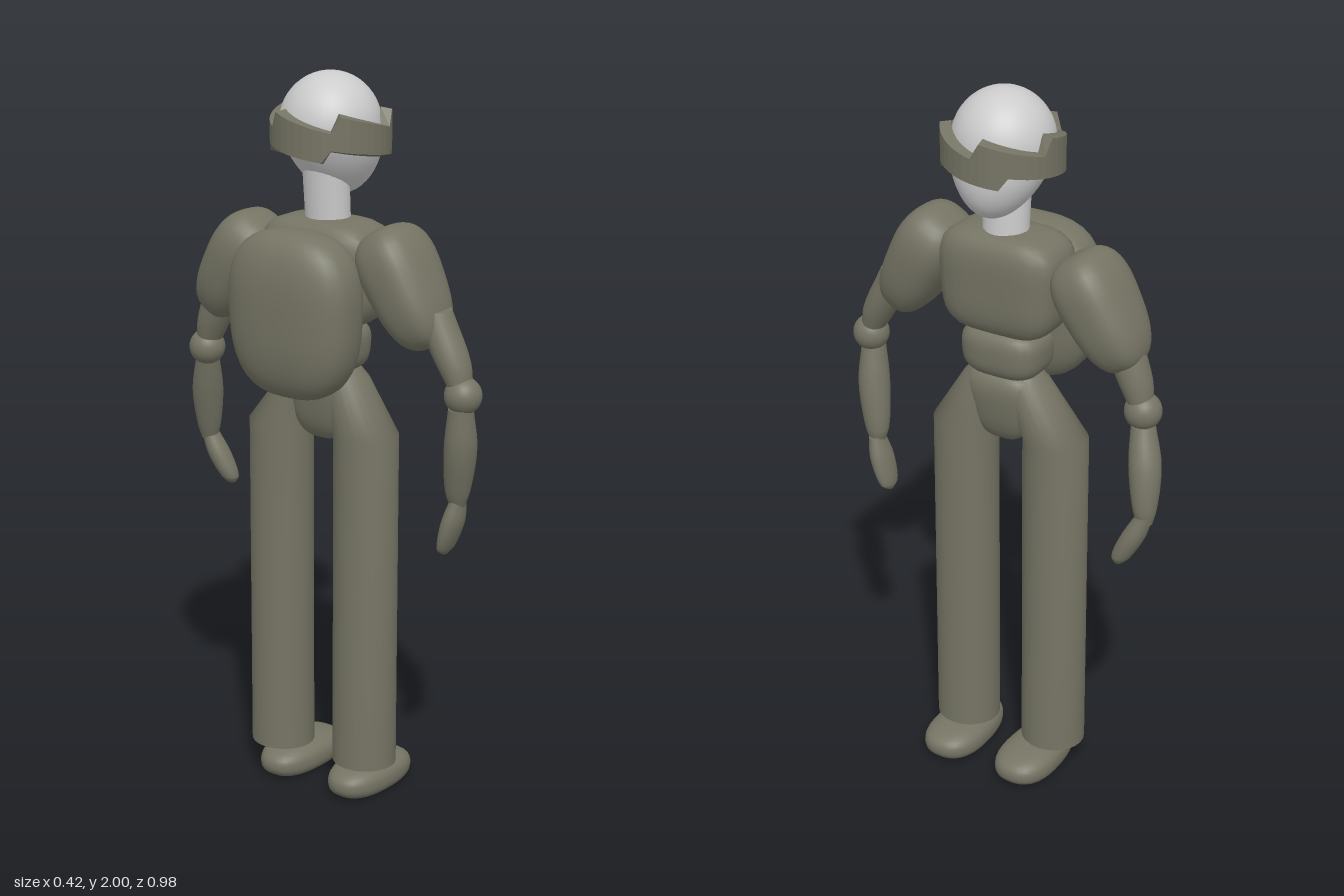
import * as THREE from 'three';
import { mergeVertices } from 'three/addons/utils/BufferGeometryUtils.js';

const cloth = new THREE.MeshStandardMaterial({ color: 0x757464 });
const skin = new THREE.MeshStandardMaterial({ color: 0xcccccc });
const bandCloth = new THREE.MeshStandardMaterial({ color: 0x757464, flatShading: true });

// Sphere whose vertices are moved by a rule, with smooth seamless normals
function shapedSphere(rule) {
  let geo = new THREE.SphereGeometry(1, 36, 26);
  geo.deleteAttribute('uv');
  geo.deleteAttribute('normal');
  geo = mergeVertices(geo, 1e-4);
  const pos = geo.attributes.position;
  const v = new THREE.Vector3();
  for (let i = 0; i < pos.count; i++) {
    rule(v.fromBufferAttribute(pos, i));
    pos.setXYZ(i, v.x, v.y, v.z);
  }
  geo.computeVertexNormals();
  return geo;
}

// Rounded cushion: power sets boxiness, taper narrows the bottom
function cushion(name, center, radii, { power = 3, taper = 0, tilt = 0 } = {}) {
  const geo = shapedSphere((v) => {
    const n = Math.pow(Math.abs(v.x) ** power + Math.abs(v.y) ** power + Math.abs(v.z) ** power, 1 / power);
    v.divideScalar(n);
    const s = 1 - taper * (1 - v.y) / 2;
    v.set(v.x * radii[0] * s, v.y * radii[1], v.z * radii[2] * s);
  });
  const mesh = new THREE.Mesh(geo, cloth);
  mesh.name = name;
  mesh.position.set(...center);
  mesh.rotation.x = tilt;
  return mesh;
}

// Horizontal elliptical rings [x, y, z, rx, rz] from bottom to top, capped
function loft(name, sections, { smooth = true, material = cloth, sides = 24 } = {}) {
  let rings = sections;
  if (smooth) {
    const path = new THREE.CatmullRomCurve3(sections.map((s) => new THREE.Vector3(s[0], s[1], s[2])));
    const size = new THREE.CatmullRomCurve3(sections.map((s) => new THREE.Vector3(s[3], s[4], s[1])));
    rings = [];
    const steps = (sections.length - 1) * 5;
    for (let i = 0; i <= steps; i++) {
      const p = path.getPoint(i / steps), r = size.getPoint(i / steps);
      rings.push([p.x, p.y, p.z, r.x, r.y]);
    }
  }
  const pos = [], idx = [];
  const addRing = ([x, y, z, rx, rz]) => {
    const start = pos.length / 3;
    for (let j = 0; j < sides; j++) {
      const a = (j / sides) * Math.PI * 2;
      pos.push(x + rx * Math.cos(a), y, z + rz * Math.sin(a));
    }
    return start;
  };
  const starts = rings.map(addRing);
  for (let i = 0; i < starts.length - 1; i++) {
    for (let j = 0; j < sides; j++) {
      const k = (j + 1) % sides, a = starts[i], b = starts[i + 1];
      idx.push(a + j, b + j, a + k, b + j, b + k, a + k);
    }
  }
  for (const top of [false, true]) {
    const ring = top ? rings[rings.length - 1] : rings[0];
    const s = addRing(ring), c = pos.length / 3;
    pos.push(ring[0], ring[1], ring[2]);
    for (let j = 0; j < sides; j++) {
      const k = (j + 1) % sides;
      idx.push(c, s + (top ? k : j), s + (top ? j : k));
    }
  }
  const geo = new THREE.BufferGeometry();
  geo.setAttribute('position', new THREE.Float32BufferAttribute(pos, 3));
  geo.setIndex(idx);
  geo.computeVertexNormals();
  const mesh = new THREE.Mesh(geo, material);
  mesh.name = name;
  return mesh;
}

// Ragged band around the head, with sawtooth edges
function headband() {
  const n = 40, pos = [], idx = [];
  for (let i = 0; i < n; i++) {
    const a = (i / n) * Math.PI * 2;
    const saw = (i % 8) / 7, low = ((i + 3) % 10) / 9;
    const top = 1.862 + 0.042 * saw, bottom = 1.778 + 0.032 * low;
    for (const [r, y] of [[0.128, bottom], [0.16, bottom + 0.008], [0.16, top], [0.13, top + 0.005]]) {
      pos.push(0.048 + r * Math.cos(a), y, r * Math.sin(a));
    }
  }
  for (let i = 0; i < n; i++) {
    for (let k = 0; k < 4; k++) {
      const a = i * 4, b = ((i + 1) % n) * 4, m = (k + 1) % 4;
      idx.push(a + k, a + m, b + k, a + m, b + m, b + k);
    }
  }
  const geo = new THREE.BufferGeometry();
  geo.setAttribute('position', new THREE.Float32BufferAttribute(pos, 3));
  geo.setIndex(idx);
  geo.computeVertexNormals();
  const mesh = new THREE.Mesh(geo, bandCloth);
  mesh.name = 'headband';
  return mesh;
}

export function createModel() {
  const model = new THREE.Group();
  model.name = 'figure';

  // Head: round skull drawn down and forward (+x) to the chin
  const head = new THREE.Mesh(shapedSphere((v) => {
    const d = Math.max(0, -v.y);
    v.set(0.045 + 0.05 * d + v.x * 0.137, 1.86 + v.y * (v.y > 0 ? 0.14 : 0.19), v.z * 0.135 * (1 - 0.15 * d * d));
  }), skin);
  head.name = 'head';
  model.add(head, headband());
  model.add(loft('neck', [[0.038, 1.58, 0, 0.056, 0.062], [0.025, 1.75, 0, 0.062, 0.062]], { smooth: false, material: skin }));

  // Torso and pack
  model.add(
    cushion('chest', [0.03, 1.475, 0], [0.11, 0.145, 0.18], { power: 4, taper: 0.1 }),
    cushion('waist', [0.025, 1.275, 0], [0.095, 0.075, 0.122], { power: 3.2, taper: 0.08 }),
    cushion('pelvis', [0.03, 1.12, 0], [0.095, 0.11, 0.125], { power: 3, taper: 0.4 }),
    cushion('backpack', [-0.105, 1.38, -0.003], [0.108, 0.225, 0.2], { power: 2.8, taper: 0.1, tilt: 0 }),
  );

  // Padded shoulders
  model.add(
    cushion('leftShoulder', [0.025, 1.465, 0.262], [0.122, 0.168, 0.1], { power: 2.8, taper: 0.25, tilt: -0.5 }),
    cushion('rightShoulder', [0.025, 1.447, -0.287], [0.122, 0.165, 0.1], { power: 2.8, taper: 0.25, tilt: 0.55 }),
  );

  // Left arm
  model.add(
    loft('leftUpperArm', [[0.025, 1.22, 0.433, 0.035, 0.03], [0.027, 1.29, 0.405, 0.048, 0.047], [0.03, 1.42, 0.335, 0.05, 0.055]]),
    cushion('leftElbow', [0.025, 1.205, 0.44], [0.05, 0.05, 0.05], { power: 2 }),
    loft('leftForearm', [[0.053, 0.89, 0.41, 0.02, 0.02], [0.05, 0.93, 0.412, 0.033, 0.033],
      [0.033, 1.06, 0.43, 0.046, 0.043], [0.02, 1.17, 0.437, 0.036, 0.032]]),
    loft('leftHand', [[0.053, 0.748, 0.372, 0.012, 0.008], [0.053, 0.765, 0.376, 0.034, 0.018],
      [0.053, 0.84, 0.397, 0.042, 0.028], [0.055, 0.905, 0.411, 0.028, 0.02]]),
  );

  // Right arm, swung slightly forward
  model.add(
    loft('rightUpperArm', [[0.03, 1.21, -0.405, 0.035, 0.032], [0.027, 1.28, -0.382, 0.047, 0.047], [0.025, 1.42, -0.325, 0.05, 0.055]]),
    cushion('rightElbow', [0.028, 1.195, -0.41], [0.05, 0.05, 0.05], { power: 2 }),
    loft('rightForearm', [[0.088, 0.905, -0.455, 0.022, 0.022], [0.083, 0.95, -0.452, 0.034, 0.033],
      [0.062, 1.06, -0.438, 0.044, 0.043], [0.035, 1.16, -0.415, 0.034, 0.032]]),
    loft('rightHand', [[0.11, 0.778, -0.393, 0.012, 0.012], [0.107, 0.795, -0.398, 0.025, 0.025],
      [0.098, 0.86, -0.428, 0.034, 0.032], [0.09, 0.925, -0.455, 0.025, 0.023]]),
  );

  // Straight trouser legs leaning into the hips, with flat-soled shoes
  for (const [side, x, z, s] of [['left', 0.038, 0.125, 1], ['right', 0.02, -0.145, -1]]) {
    model.add(loft(side + 'Leg', [[x, 0.083, z, 0.086, 0.09], [x, 1.04, z, 0.086, 0.09],
      [0.03, 1.19, s * 0.062, 0.07, 0.06], [0.03, 1.215, s * 0.055, 0.05, 0.045]], { smooth: false }));
    const shoe = new THREE.Mesh(shapedSphere((v) => {
      const width = 1 + 0.08 * v.x;
      const n = Math.pow(Math.abs(v.x) ** 2.5 + Math.abs(v.y) ** 2.5 + Math.abs(v.z) ** 2.5, 1 / 2.5);
      v.divideScalar(n);
      v.set(v.x * 0.147, Math.max(0, 0.035 + v.y * 0.05), v.z * 0.083 * width);
    }), cloth);
    shoe.name = side + 'Shoe';
    shoe.position.set(0.063, 0, s > 0 ? 0.123 : -0.113);
    model.add(shoe);
  }
  return model;
}
